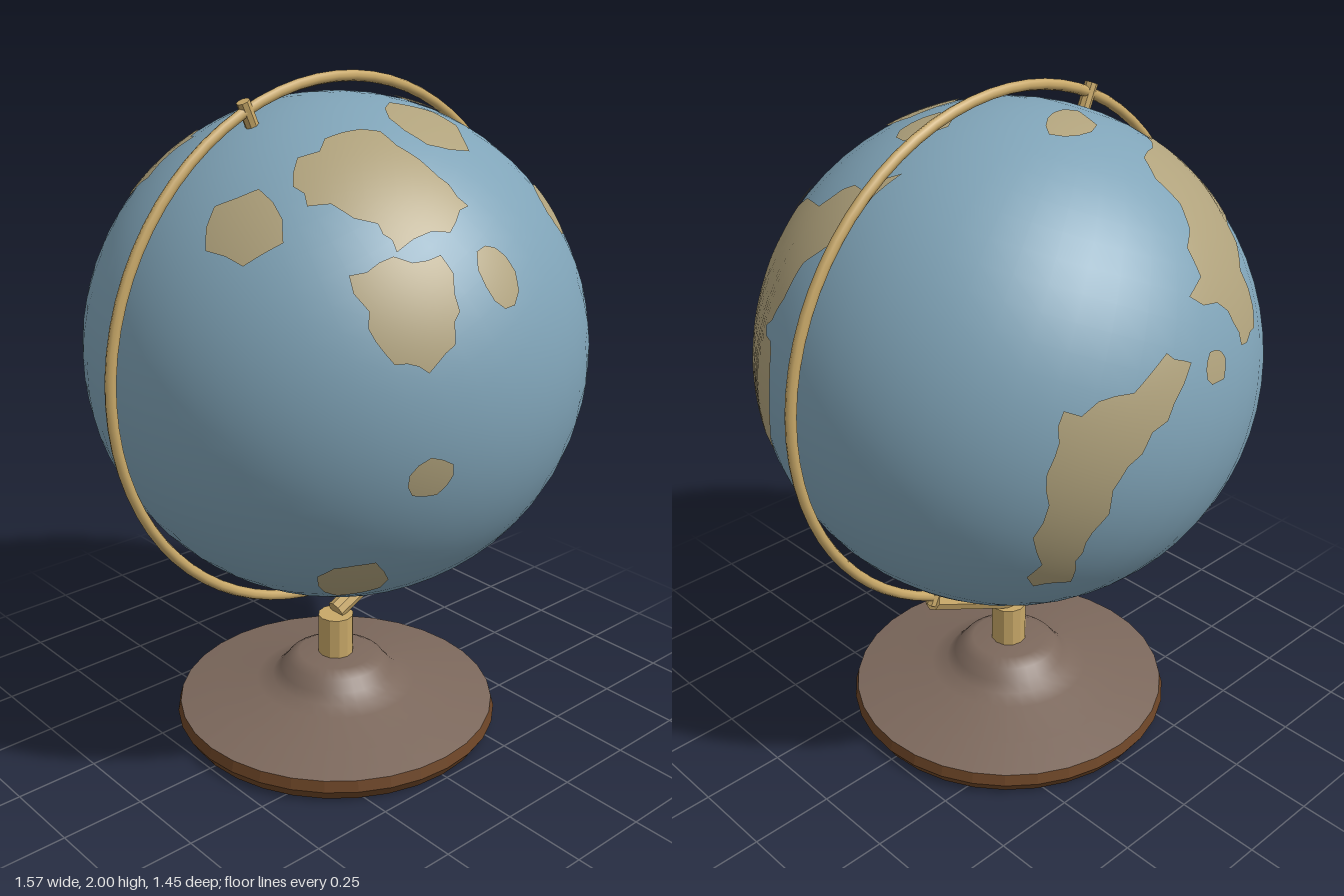
import * as THREE from 'three';

const R = 0.726, CENTRE = 1.221, TILT = THREE.MathUtils.degToRad(23.7);

const mat = (name, color) => new THREE.MeshStandardMaterial({ name, color });

// Sides of the globe on which land is laid out: a rotation and the globe radius in layout units
const sideOf = (azimuth, elevation, radius) => ({
  radius,
  turn: new THREE.Euler(-THREE.MathUtils.degToRad(elevation), THREE.MathUtils.degToRad(azimuth), 0, 'YXZ'),
});
const TOP = sideOf(0, 90, 172.5), FRONT = sideOf(0, 0, 137), LEFT = sideOf(90, 0, 137);
const BACK_LOW = sideOf(145, -30, 123), BACK = sideOf(215, 25, 123), BOTTOM = sideOf(0, -90, 100);

// Small seeded generator, -1 to 1, for ragged coasts
let seed = 7;
const ragged = () => {
  seed = (seed * 16807) % 2147483647;
  return (seed / 2147483647) * 2 - 1;
};

// Continent outline: a few corners with two ragged points along each stretch of coast
function coast(corners) {
  const points = corners.map(([u, v]) => new THREE.Vector2(u, v));
  return points.flatMap((p, i) => {
    const along = points[(i + 1) % points.length].clone().sub(p);
    const across = new THREE.Vector2(-along.y, along.x);
    const at = t => p.clone().addScaledVector(along, t).addScaledVector(across, 0.15 * ragged());
    return [p, at(0.33), at(0.67)];
  });
}

// Island outline: a ragged ellipse
function island(u, v, radiusU, radiusV, turn = 0) {
  const centre = new THREE.Vector2(u, v);
  return Array.from({ length: 11 }, (_, i) => {
    const a = (i / 11) * Math.PI * 2, k = 0.97 + 0.13 * ragged();
    return new THREE.Vector2(radiusU * k * Math.cos(a), radiusV * k * Math.sin(a))
      .rotateAround(new THREE.Vector2(), -turn).add(centre);
  });
}

// Curved plate: triangulate the outline, split each triangle, push the points onto the globe
function landGeometry(outline, { radius, turn }) {
  const flat = outline.map(p => new THREE.Vector2(p.x / radius, -p.y / radius));
  const points = flat.map(p =>
    new THREE.Vector3(p.x, p.y, Math.sqrt(Math.max(0, 1 - p.lengthSq()))).normalize().applyEuler(turn));
  const positions = [], normals = [];
  const mid = (a, b) => a.clone().add(b).normalize();
  const split = (a, b, c, level) => {
    if (level === 0) {
      for (const p of [a, b, c]) {
        normals.push(...p);
        positions.push(...p.clone().multiplyScalar(R + 0.004));
      }
      return;
    }
    const ab = mid(a, b), bc = mid(b, c), ca = mid(c, a);
    split(a, ab, ca, level - 1);
    split(ab, b, bc, level - 1);
    split(ca, bc, c, level - 1);
    split(ab, bc, ca, level - 1);
  };
  for (const [i, j, k] of THREE.ShapeUtils.triangulateShape(flat, [])) {
    const [a, b, c] = [points[i], points[j], points[k]];
    const outward = b.clone().sub(a).cross(c.clone().sub(a)).dot(a) > 0;
    if (outward) split(a, b, c, 3);
    else split(a, c, b, 3);
  }
  const g = new THREE.BufferGeometry();
  g.setAttribute('position', new THREE.Float32BufferAttribute(positions, 3));
  g.setAttribute('normal', new THREE.Float32BufferAttribute(normals, 3));
  return g;
}

function faceted(geometry) {
  const g = geometry.toNonIndexed();
  g.computeVertexNormals();
  return g;
}

export function createModel() {
  seed = 7;
  const model = new THREE.Group();
  model.name = 'deskGlobe';
  const ocean = mat('ocean blue', 0x80a4b8);
  const land = mat('land tan', 0xb0a27c);
  const brass = mat('brass', 0xc8a868);
  const wood = mat('dark wood', 0x6b4426);
  const stand = mat('stand brown', 0x7c685c);

  const add = (name, geometry, material, parent = model) => {
    const mesh = new THREE.Mesh(geometry, material);
    mesh.name = name;
    parent.add(mesh);
    return mesh;
  };
  const rod = (name, from, to, radius, sides) => {
    const a = new THREE.Vector3(...from), b = new THREE.Vector3(...to);
    const mesh = add(name, faceted(new THREE.CylinderGeometry(radius, radius, a.distanceTo(b), sides)), brass);
    mesh.position.copy(a).add(b).multiplyScalar(0.5);
    mesh.quaternion.setFromUnitVectors(new THREE.Vector3(0, 1, 0), b.sub(a).normalize());
  };
  const lathe = points => new THREE.LatheGeometry(points.map(p => new THREE.Vector2(...p)), 32);

  // Base: wooden rim and a flared top
  add('baseRim', faceted(lathe([[0, 0], [0.48, 0], [0.502, 0.035], [0.493, 0.068], [0, 0.068]])), wood);
  add('baseTop', lathe([[0.493, 0.068], [0.38, 0.094], [0.25, 0.122], [0.2, 0.137], [0.175, 0.162],
    [0.15, 0.194], [0.115, 0.214], [0, 0.216]]), stand);

  // Post and the arm leading to the ring
  rod('post', [0, 0.2, 0], [0, 0.345, 0], 0.055, 12);
  rod('arm', [0, 0.355, 0], [0.315, 0.505, 0], 0.03, 8);

  // Meridian ring and its two pivot pins
  add('meridianRing', new THREE.TorusGeometry(0.768, 0.0155, 8, 72), brass).position.y = CENTRE;
  const onAxis = d => [-Math.sin(TILT) * d, CENTRE + Math.cos(TILT) * d, 0];
  rod('upperPin', onAxis(0.71), onAxis(0.795), 0.019, 8);
  rod('lowerPin', onAxis(-0.71), onAxis(-0.795), 0.019, 8);

  // Globe
  const globe = new THREE.Group();
  globe.name = 'globe';
  globe.position.y = CENTRE;
  model.add(globe);
  add('ocean', new THREE.SphereGeometry(R, 48, 32), ocean, globe).rotation.z = TILT;
  const addLand = (name, side, outline) => add(name, landGeometry(outline, side), land, globe);

  // Continents
  addLand('upperFrontContinent', TOP, coast([[-86, 60], [-56, 54], [-24, 68], [-14, 108], [-6, 126],
    [-28, 133], [-64, 126], [-66, 112], [-92, 80]]));
  addLand('frontContinent', FRONT, coast([[-73, -70], [-53, -77], [-32, -76], [-32, -52], [-38, -38],
    [-52, -27], [-66, -32], [-73, -48]]));
  addLand('leftContinent', LEFT, coast([[-73, -84], [-40, -95], [-22, -108], [2, -117], [-4, -102],
    [-26, -75], [-32, -57], [-45, -40], [-34, -31], [-36, 8], [-40, 28], [-66, 20], [-70, -20], [-73, -50]]));
  addLand('backLeftContinent', BACK_LOW, coast([[0, -70], [4, -85], [26, -86], [50, -90], [62, -82],
    [50, -70], [32, -60], [18, -32], [12, -14], [12, 5], [-5, 5], [-6, -24], [-2, -50]]));
  addLand('backContinent', BACK, coast([[-59, -18], [-33, -38], [-12, -69], [14, -68], [28, -69],
    [39, -45], [34, -31], [6, -22], [-14, -6], [-22, 19], [-40, 18], [-42, 0]]));

  // Islands
  addLand('upperRightIsland', TOP, island(-119, 56, 16, 25, 0.39));
  addLand('topIsland', TOP, island(15, 66, 27, 28));
  addLand('topLeftIsland', TOP, island(50, 23, 17, 18));
  addLand('frontUpperIsland', FRONT, island(-5, -64, 11, 14));
  addLand('frontLeftIsland', FRONT, island(69, -80, 8, 13, 0.4));
  addLand('frontLeftIslet', FRONT, island(100, 5, 5, 7));
  addLand('frontMiddleIsland', FRONT, island(-50, 25, 11, 11));
  addLand('frontLowerIsland', FRONT, island(-59, 92, 13, 21, 0.79));
  addLand('lowerLeftIsland', LEFT, island(0, 109, 16, 12));
  addLand('lowerBackIsland', BACK_LOW, island(-21, 80, 15, 10));
  addLand('bottomIsland', BOTTOM, island(26, -20, 18, 17));
  addLand('backUpperIsland', BACK, island(-11, -95, 17, 7));
  addLand('backIslet', BACK, island(-61, 15, 7, 8));

  return model;
}
